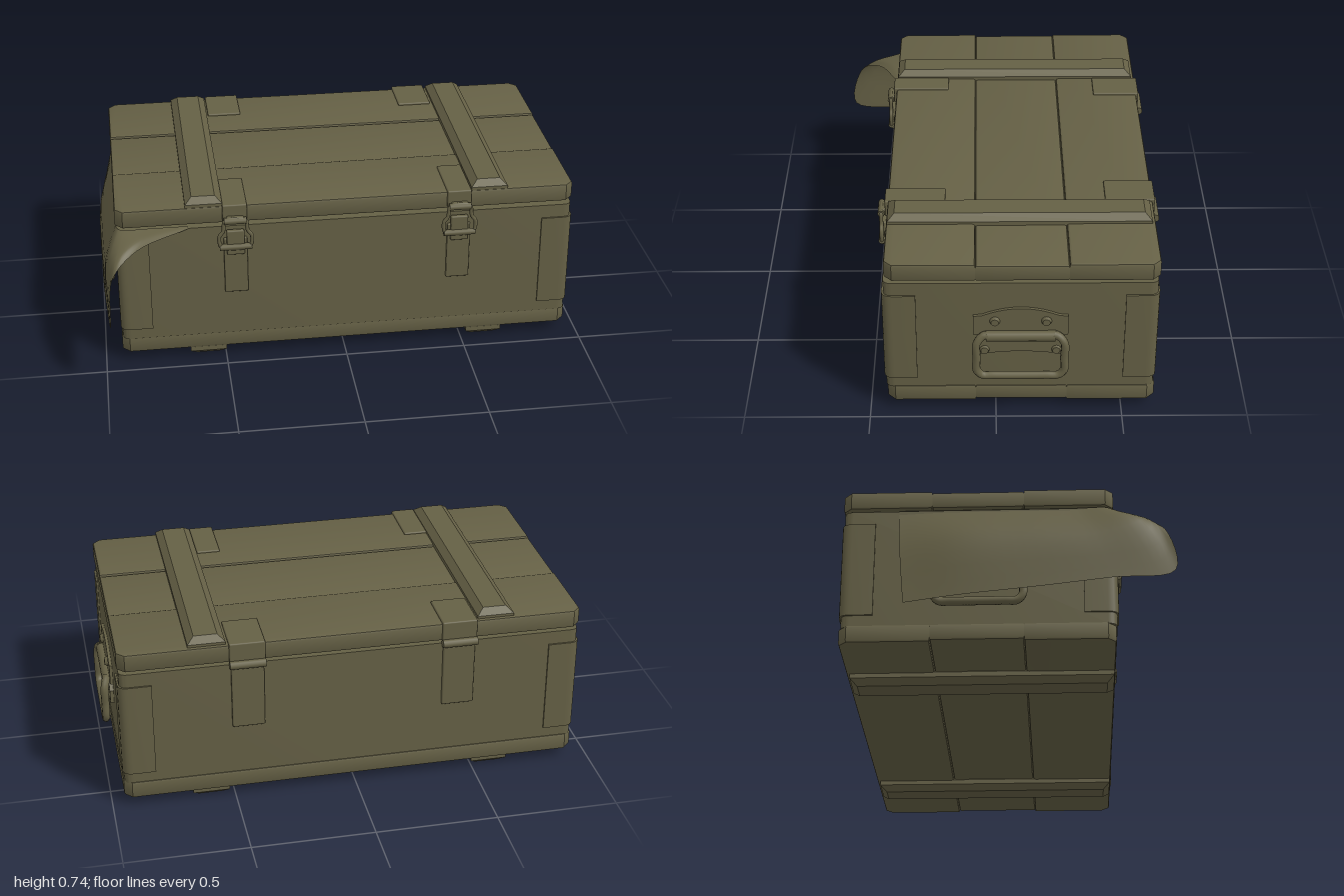
import * as THREE from 'three';
import { toCreasedNormals } from 'three/addons/utils/BufferGeometryUtils.js';
import { RoundedBoxGeometry } from 'three/addons/geometries/RoundedBoxGeometry.js';

const X0 = -0.925, X1 = 0.945, Z0 = -0.625, Z1 = 0.435, R = 0.035;
const V = (x, y, z) => new THREE.Vector3(x, y, z);

export function createModel() {
  const model = new THREE.Group();
  model.name = 'crate';
  const olive = new THREE.MeshStandardMaterial({ color: 0x656045, side: THREE.DoubleSide });
  olive.name = 'oliveDrab';

  const add = (name, geometry, parent = model) => {
    const mesh = new THREE.Mesh(geometry, olive);
    mesh.name = name;
    parent.add(mesh);
    return mesh;
  };
  // Box given by its limits, with softly rounded edges
  const box = (name, x0, x1, y0, y1, z0, z1, r = 0.004, parent = model) => {
    const mesh = add(name, new RoundedBoxGeometry(x1 - x0, y1 - y0, z1 - z0, 2, r), parent);
    mesh.position.set((x0 + x1) / 2, (y0 + y1) / 2, (z0 + z1) / 2);
    return mesh;
  };
  // Plan shape (x, -z) extruded upward from y0
  const extrudeUp = (shape, y0, depth, options = {}) => {
    const g = new THREE.ExtrudeGeometry(shape, { depth, bevelEnabled: false, curveSegments: 6, ...options });
    g.rotateX(-Math.PI / 2);
    g.translate(0, y0, 0);
    return toCreasedNormals(g, 0.5);
  };
  const tube = (name, points, radius, parent, closed = true) => add(name, new THREE.TubeGeometry(
    new THREE.CatmullRomCurve3(points, closed, 'centripetal'), 72, radius, 8, closed), parent);

  // Body with rounded upright corners
  const plan = new THREE.Shape();
  plan.moveTo(X0 + R, -Z1);
  plan.lineTo(X1 - R, -Z1);
  plan.quadraticCurveTo(X1, -Z1, X1, -Z1 + R);
  plan.lineTo(X1, -Z0 - R);
  plan.quadraticCurveTo(X1, -Z0, X1 - R, -Z0);
  plan.lineTo(X0 + R, -Z0);
  plan.quadraticCurveTo(X0, -Z0, X0, -Z0 - R);
  plan.lineTo(X0, -Z1 + R);
  plan.quadraticCurveTo(X0, -Z1, X0 + R, -Z1);
  add('body', extrudeUp(plan, 0.11, 0.502));

  // Three planks each for lid and base; outer ones have clipped corners
  const plank = (name, z0, z1, y0, y1, side) => {
    const b = 0.01, x0 = -0.93 + b, x1 = 0.95 - b, a = z0 + b, c = z1 - b, k = 0.025;
    const kb = side < 0 ? k : 0, kf = side > 0 ? k : 0;
    const s = new THREE.Shape([[x0 + kf, -c], [x1 - kf, -c], [x1, -c + kf], [x1, -a - kb],
      [x1 - kb, -a], [x0 + kb, -a], [x0, -a - kb], [x0, -c + kf]]
      .map(p => new THREE.Vector2(...p))
      .filter((p, i, all) => i === 0 || !p.equals(all[i - 1])));
    add(name, extrudeUp(s, y0 + b, y1 - y0 - 2 * b,
      { bevelEnabled: true, bevelSize: b, bevelThickness: b, bevelSegments: 2 }));
  };
  [[-0.63, -0.28, -1], [-0.28, 0.08, 0], [0.08, 0.43, 1]].forEach(([z0, z1, side]) => {
    const drop = side === 0 ? 0.006 : 0;
    plank('lidPlank', z0, z1, 0.624, 0.7 - drop, side);
    plank('basePlank', z0, z1, 0.042 + drop, 0.116, side);
  });

  // Bevelled battens across lid and base
  for (const x of [-0.573, 0.597]) {
    const w = 0.047, a = -0.588, c = 0.398;
    const s = new THREE.Shape([[x - w, -c], [x + w, -c], [x + w, -a], [x - w, -a]]
      .map(p => new THREE.Vector2(...p)));
    const bevel = { bevelEnabled: true, bevelSize: 0.028, bevelThickness: 0.024, bevelSegments: 1 };
    add('lidBatten', extrudeUp(s, 0.691, 0.02, bevel));
    add('baseBatten', extrudeUp(s, 0.024, 0.02, bevel));
  }

  // Curved guards wrapped around the upright corners
  for (const sx of [-1, 1]) for (const sz of [-1, 1]) {
    const cx = sx > 0 ? X1 : X0, cz = sz > 0 ? Z1 : Z0;
    const p = (u, v) => [cx + sx * u, -(cz + sz * v)];
    const t = 0.007, l = -0.125, s = new THREE.Shape();
    s.moveTo(...p(l, t));
    s.lineTo(...p(-R, t));
    s.quadraticCurveTo(...p(t, t), ...p(t, -R));
    s.lineTo(...p(t, l));
    s.lineTo(...p(0, l));
    s.lineTo(...p(0, -R));
    s.quadraticCurveTo(...p(0, 0), ...p(-R, 0));
    s.lineTo(...p(l, 0));
    add('cornerGuard', extrudeUp(s, 0.158, 0.397));
  }

  // Drop handle, built facing +z and turned onto each end
  const makeHandle = (x, turn) => {
    const h = new THREE.Group();
    h.name = 'handle';
    const plate = (name, s, depth) => add(name, toCreasedNormals(
      new THREE.ExtrudeGeometry(s, { depth, bevelEnabled: false, curveSegments: 10 }), 0.5), h);
    const upper = new THREE.Shape();
    upper.moveTo(-0.185, 0.375);
    upper.lineTo(0.185, 0.375);
    upper.lineTo(0.185, 0.463);
    upper.lineTo(0.15, 0.466);
    upper.quadraticCurveTo(0, 0.532, -0.15, 0.466);
    upper.lineTo(-0.185, 0.463);
    plate('handleUpperPlate', upper, 0.012);
    const lower = new THREE.Shape();
    lower.moveTo(-0.17, 0.28);
    lower.quadraticCurveTo(0, 0.312, 0.17, 0.28);
    lower.lineTo(0.17, 0.335);
    lower.lineTo(0.135, 0.38);
    lower.lineTo(-0.135, 0.38);
    lower.lineTo(-0.17, 0.335);
    plate('handleLowerPlate', lower, 0.015);
    for (const [u, y] of [[0.1, 0.44], [0.14, 0.305]]) for (const s of [-1, 1]) {
      const rivet = add('rivet', new THREE.CylinderGeometry(0.015, 0.021, 0.014, 14), h);
      rivet.rotation.x = Math.PI / 2;
      rivet.position.set(s * u, y, 0.018);
    }
    const pivot = add('handlePivot', new THREE.CylinderGeometry(0.022, 0.022, 0.27, 14), h);
    pivot.rotation.z = Math.PI / 2;
    pivot.position.set(0, 0.375, 0.02);
    const half = [[0.13, 0.385, 0.024], [0.15, 0.378, 0.028], [0.171, 0.35, 0.036], [0.171, 0.28, 0.037],
      [0.171, 0.222, 0.037], [0.15, 0.197, 0.037], [0.1, 0.195, 0.037]];
    tube('handleGrip', [...half.map(q => V(...q)),
      ...half.slice().reverse().map(([a, b, c]) => V(-a, b, c))], 0.0165, h, false);
    h.position.set(x, 0, -0.095);
    h.rotation.y = turn;
    model.add(h);
  };
  makeHandle(X1, Math.PI / 2);
  makeHandle(X0, -Math.PI / 2);

  // Front latches
  for (const x of [-0.45, 0.47]) {
    const latch = new THREE.Group();
    latch.name = 'latch';
    latch.position.x = x;
    model.add(latch);
    box('latchStrap', -0.048, 0.048, 0.31, 0.56, 0.43, 0.447, 0.005, latch);
    box('latchLever', -0.036, 0.036, 0.49, 0.6, 0.44, 0.46, 0.006, latch);
    box('latchTopPlate', -0.05, 0.05, 0.692, 0.708, 0.2, 0.442, 0.006, latch);
    box('latchFrontPlate', -0.05, 0.05, 0.635, 0.708, 0.425, 0.442, 0.006, latch);
    box('latchHook', -0.035, 0.035, 0.63, 0.66, 0.435, 0.462, 0.008, latch);
    const half = [[0.03, 0.652], [0.043, 0.645], [0.05, 0.6], [0.066, 0.575], [0.06, 0.53], [0.045, 0.522]];
    tube('latchLoop', [...half.map(([a, b]) => V(a, b, 0.458)),
      ...half.slice().reverse().map(([a, b]) => V(-a, b, 0.458))], 0.008, latch);
    for (const [y, r, l] of [[0.527, 0.013, 0.13], [0.645, 0.014, 0.09]]) {
      const pin = add('latchPin', new THREE.CylinderGeometry(r, r, l, 12), latch);
      pin.rotation.z = Math.PI / 2;
      pin.position.set(0, y, 0.458);
    }
  }

  // Rear hinges
  for (const x of [-0.42, 0.44]) {
    const hinge = new THREE.Group();
    hinge.name = 'hinge';
    hinge.position.x = x;
    model.add(hinge);
    box('hingeTopPlate', -0.072, 0.072, 0.692, 0.709, -0.639, -0.44, 0.006, hinge);
    box('hingeLidPlate', -0.072, 0.072, 0.622, 0.709, -0.639, -0.62, 0.006, hinge);
    box('hingeStrap', -0.066, 0.066, 0.33, 0.61, -0.638, -0.62, 0.006, hinge);
    const barrel = add('hingeBarrel', new THREE.CylinderGeometry(0.017, 0.017, 0.144, 14), hinge);
    barrel.rotation.z = Math.PI / 2;
    barrel.position.set(0, 0.617, -0.643);
  }

  // Cloth hanging out from under the lid: sections from clamped edge to free edge
  const sections = [
    [[-0.92, 0.617, -0.41], [-0.965, 0.42, -0.4], [-0.985, 0.18, -0.38]],
    [[-0.92, 0.617, -0.2], [-0.985, 0.45, -0.19], [-0.995, 0.205, -0.17]],
    [[-0.92, 0.617, 0.05], [-0.985, 0.46, 0.08], [-0.995, 0.235, 0.12]],
    [[-0.92, 0.617, 0.28], [-0.98, 0.47, 0.35], [-0.985, 0.275, 0.42]],
    [[-0.92, 0.617, 0.41], [-0.965, 0.53, 0.53], [-0.97, 0.31, 0.66]],
    [[-0.89, 0.617, 0.425], [-0.93, 0.565, 0.55], [-0.955, 0.5, 0.625]],
    [[-0.79, 0.617, 0.425], [-0.82, 0.602, 0.48], [-0.85, 0.575, 0.53]],
    [[-0.64, 0.617, 0.425], [-0.64, 0.615, 0.432], [-0.64, 0.612, 0.44]],
  ].map(s => new THREE.CatmullRomCurve3(s.map(q => V(...q))));
  const NU = 42, NV = 8, positions = [], index = [];
  for (let j = 0; j <= NV; j++) {
    const row = new THREE.CatmullRomCurve3(sections.map(c => c.getPoint(j / NV)), false, 'centripetal');
    for (let i = 0; i <= NU; i++) {
      positions.push(...row.getPoint(i / NU).toArray());
      if (i < NU && j < NV) {
        const a = j * (NU + 1) + i, b = a + NU + 1;
        index.push(a, b, a + 1, b, b + 1, a + 1);
      }
    }
  }
  const cloth = new THREE.BufferGeometry();
  cloth.setAttribute('position', new THREE.Float32BufferAttribute(positions, 3));
  cloth.setIndex(index);
  cloth.computeVertexNormals();
  add('cloth', cloth);

  return model;
}
